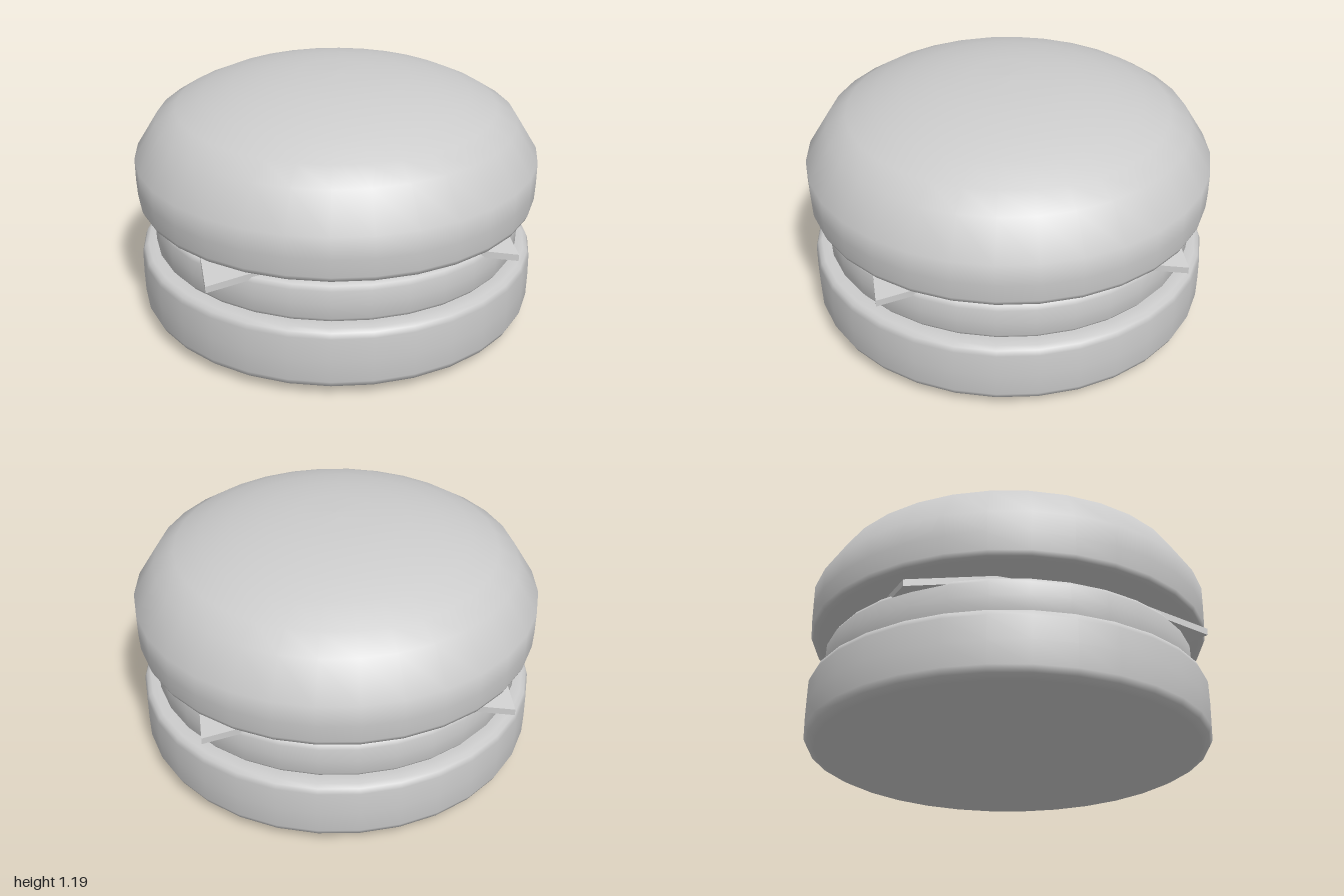
import * as THREE from 'three';

const material = new THREE.MeshStandardMaterial({ color: 0xcccccc });

// Round layer turned from a profile of [radius, height], bottom centre to top centre
function layer(name, profile) {
  const points = profile.map(([r, y]) => new THREE.Vector2(r, y));
  const mesh = new THREE.Mesh(new THREE.LatheGeometry(points, 32), material);
  mesh.name = name;
  mesh.position.set(0.01, 0, -0.005);
  return mesh;
}

// Square slice whose corners fold downwards
function cheeseSlice() {
  const side = 1.43, thickness = 0.032, fold = 0.7, droop = 0.095;
  const geometry = new THREE.BoxGeometry(side, thickness, side, 20, 1, 20);
  const pos = geometry.attributes.position;
  for (let i = 0; i < pos.count; i++) {
    const d = (Math.abs(pos.getX(i)) + Math.abs(pos.getZ(i))) / side;
    pos.setY(i, pos.getY(i) - droop * Math.max(0, (d - fold) / (1 - fold)));
  }
  geometry.computeVertexNormals();
  const mesh = new THREE.Mesh(geometry, material);
  mesh.name = 'cheeseSlice';
  mesh.position.y = 0.578;
  mesh.rotation.y = THREE.MathUtils.degToRad(35.6);
  return mesh;
}

export function createModel() {
  const group = new THREE.Group();
  group.name = 'burger';
  group.add(
    // Bottom bun with rounded rims and a slightly bulging base
    layer('bottomBun', [
      [0, 0], [0.55, 0.008], [0.78, 0.02], [0.92, 0.042], [0.955, 0.06], [0.97, 0.09],
      [0.972, 0.2], [0.97, 0.31], [0.96, 0.335], [0.94, 0.348], [0.9, 0.35], [0, 0.35],
    ]),
    // Meat patty
    layer('patty', [
      [0, 0.345], [0.88, 0.345], [0.898, 0.37], [0.9, 0.44], [0.898, 0.505],
      [0.885, 0.525], [0.85, 0.535], [0.7, 0.54], [0, 0.54],
    ]),
    cheeseSlice(),
    // Domed top bun with a flat underside
    layer('topBun', [
      [0, 0.59], [0.93, 0.59], [0.962, 0.592], [0.972, 0.615], [0.976, 0.7], [0.976, 0.805],
      [0.87, 0.975], [0.77, 1.04], [0.64, 1.1], [0.5, 1.14], [0.35, 1.17], [0.18, 1.188], [0, 1.192],
    ]),
  );
  return group;
}
